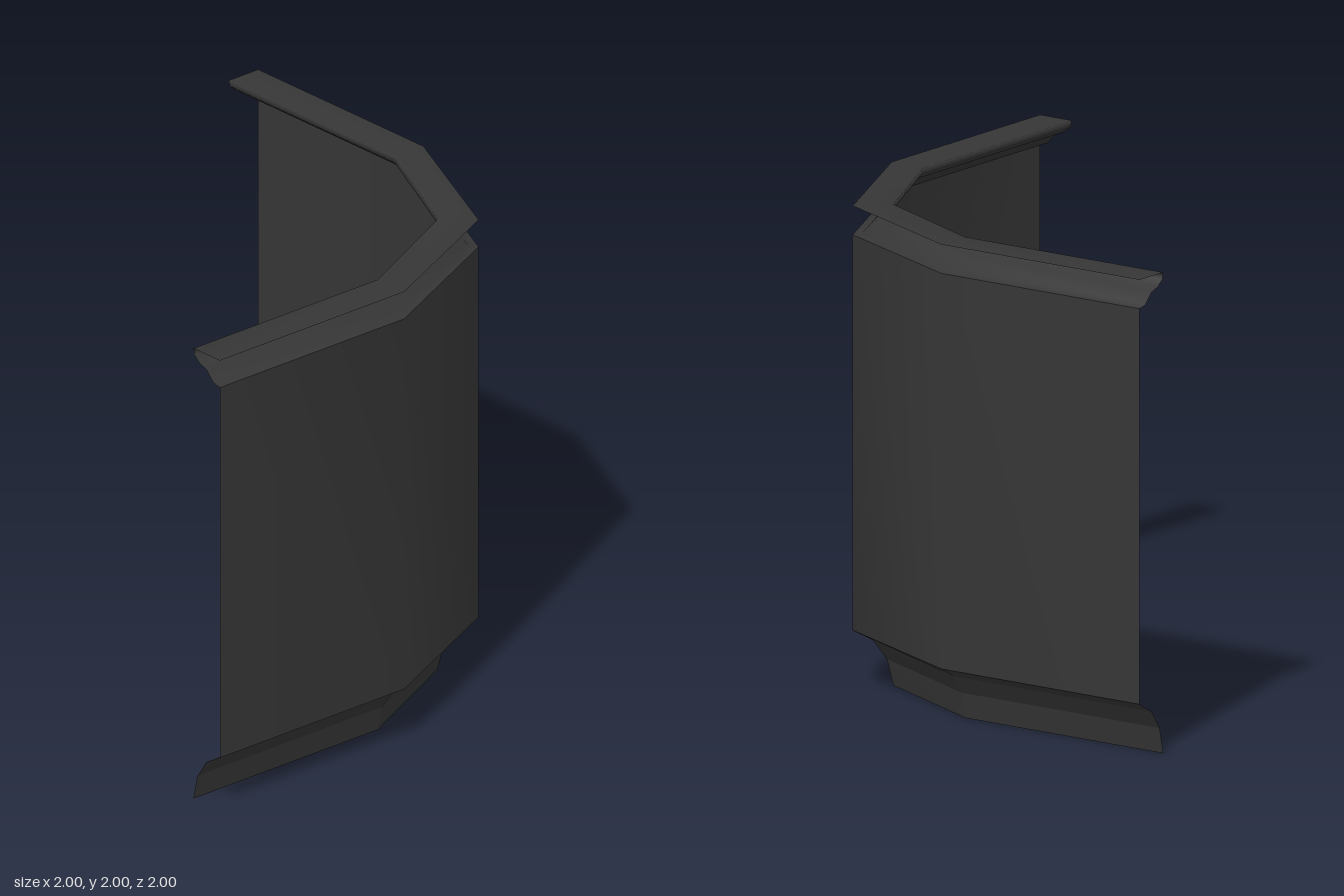
import * as THREE from 'three';

// Plan of the wall (x, z): outer line and the line reached at full inset
const DEPTH = 0.16;
const outer = [[-1, -1], [0, -1], [0.68, -0.69], [1, 0], [1, 1]];
const inner = [[-1, -0.84], [0, -0.84], [0.565, -0.57], [0.84, 0], [0.84, 1]];

// Sweeps a profile of [inset, y] points along the plan
function sweep(profile, flat) {
  const positions = [], indices = [];
  for (const [inset, y] of profile) {
    const t = inset / DEPTH;
    outer.forEach(([x, z], i) => {
      positions.push(x + (inner[i][0] - x) * t, y, z + (inner[i][1] - z) * t);
    });
  }
  const n = outer.length;
  for (let r = 0; r < profile.length - 1; r++) {
    for (let i = 0; i < n - 1; i++) {
      const a = r * n + i, b = a + 1, c = a + n, d = c + 1;
      indices.push(a, b, d, a, d, c);
    }
  }
  let geometry = new THREE.BufferGeometry();
  geometry.setAttribute('position', new THREE.Float32BufferAttribute(positions, 3));
  geometry.setIndex(indices);
  if (flat) geometry = geometry.toNonIndexed();
  geometry.computeVertexNormals();
  return geometry;
}

export function createModel() {
  const group = new THREE.Group();
  group.name = 'curvedWall';
  const charcoal = new THREE.MeshStandardMaterial({ color: 0x363636, side: THREE.DoubleSide });
  charcoal.name = 'charcoal';

  const add = (name, profile, flat) => {
    const mesh = new THREE.Mesh(sweep(profile, flat), charcoal);
    mesh.name = name;
    group.add(mesh);
  };

  // Coved skirting that steps inward at the floor
  add('baseCove', [[0.16, 0], [0.135, 0.11], [0.08, 0.19], [0, 0.235]], true);
  // Plain sheet wall, smooth around the corner
  add('wallPanel', [[0, 0.235], [0, 1.88]], false);
  // Moulded cornice leaning inward, closed by a thin flat cap
  add('cornice', [[0, 1.88], [0.04, 1.889], [0.08, 1.932], [0.123, 1.947],
    [0.155, 1.973], [0.16, 2], [0, 2]], false);

  return group;
}
